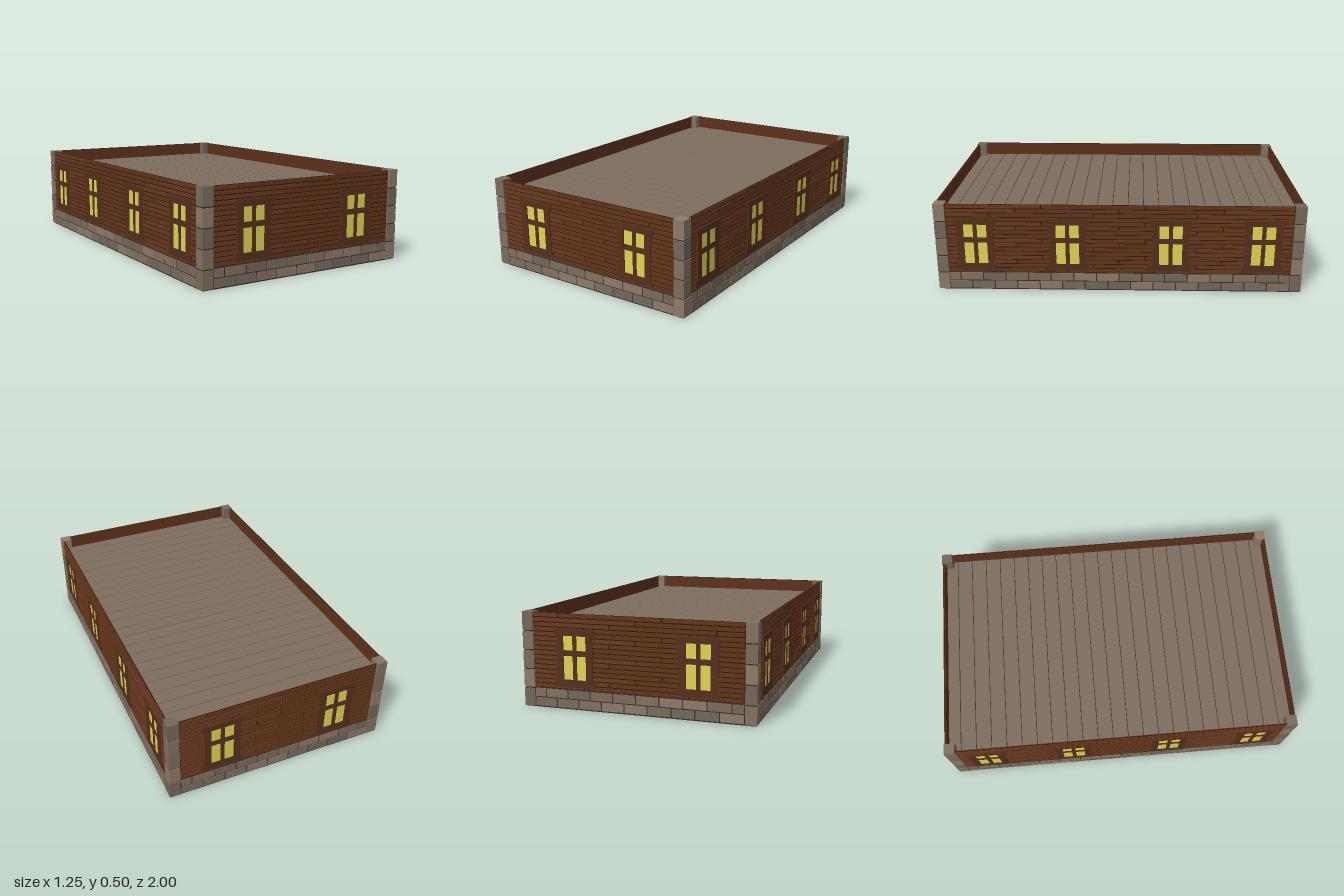
import * as THREE from 'three';

const mat = (color) => new THREE.MeshStandardMaterial({ color, flatShading: true });
const STONES = [0x7a6c5d, 0x8d7a68, 0x74675a, 0x83725f].map(mat);
const WOODS = [0x6b3a1f, 0x643519, 0x6f3d20].map(mat);
const FRAME = mat(0x55301c);
const GLASS = mat(0xe0d455);
const MORTAR = mat(0x3a312b);
const BACKING = mat(0x2e1b12);
const LINING = mat(0x5e321a);
const DECK = mat(0x7c6e5e);

const HX = 0.625, HZ = 1, H = 0.5; // half width, half depth, height
const POST = 0.063, BASE = 0.105, DECK_TOP = 0.42, GAP = 0.006;

// Box given by its lower and upper corners
function box(parent, name, material, x0, x1, y0, y1, z0, z1) {
  const mesh = new THREE.Mesh(new THREE.BoxGeometry(x1 - x0, y1 - y0, z1 - z0), material);
  mesh.position.set((x0 + x1) / 2, (y0 + y1) / 2, (z0 + z1) / 2);
  mesh.name = name;
  parent.add(mesh);
  return mesh;
}

// Row of pieces between -half and half, joined at every step from the given shift
function course(parent, name, mats, row, half, step, shift, y0, y1, z0, z1) {
  const cuts = [-half];
  let x = shift - Math.ceil((shift + half) / step) * step;
  for (; x < half - 0.01; x += step) if (x > -half + 0.01) cuts.push(x);
  cuts.push(half);
  for (let i = 0; i + 1 < cuts.length; i++) {
    const m = mats[(i * 3 + row * 2 + ((i * i + row) % 3)) % mats.length];
    box(parent, name, m, cuts[i] + GAP / 2, cuts[i + 1] - GAP / 2, y0 + GAP / 2, y1 - GAP / 2, z0, z1);
  }
}

// Four-pane window centred on x; z = 0 is the outermost plane
function window4(x) {
  const g = new THREE.Group();
  g.name = 'window';
  box(g, 'glass', GLASS, -0.07, 0.07, 0.15, 0.39, -0.012, -0.005);
  for (const s of [-1, 1]) box(g, 'jamb', FRAME, s * 0.081 - 0.018, s * 0.081 + 0.018, 0.155, 0.386, -0.012, 0);
  box(g, 'mullion', FRAME, -0.011, 0.011, 0.155, 0.386, -0.012, -0.002);
  box(g, 'crossbar', FRAME, -0.063, 0.063, 0.281, 0.31, -0.012, -0.002);
  box(g, 'lintel', FRAME, -0.112, 0.112, 0.385, 0.418, -0.012, -0.001);
  box(g, 'sill', FRAME, -0.112, 0.112, 0.118, 0.157, -0.012, -0.001);
  g.position.x = x;
  return g;
}

// Wall facing +z with stone base, staggered boards and windows
function wall(name, half, windows) {
  const g = new THREE.Group();
  g.name = name;
  const inner = half - POST;
  box(g, 'lining', LINING, -half + 0.02, half - 0.02, 0.004, H - 0.002, -0.018, -0.014);
  box(g, 'boardBacking', BACKING, -inner, inner, BASE, H - 0.001, -0.014, -0.01);
  box(g, 'mortar', MORTAR, -inner, inner, 0.002, BASE, -0.014, -0.005);

  const blocks = Math.round((2 * inner) / 0.125);
  const step = (2 * inner) / blocks;
  for (let r = 0; r < 2; r++) {
    course(g, 'baseStone', STONES, r, inner, step, -inner + r * step / 2,
      0.004 + r * 0.05, 0.054 + r * 0.05, -0.012, -0.002);
  }

  const rows = 16, h = (H - BASE) / rows;
  const shifts = [0.28, 0.42, 0, 0.14];
  for (let r = 0; r < rows; r++) {
    course(g, 'board', WOODS, r, inner, 0.56, shifts[r % 4],
      BASE + r * h, BASE + (r + 1) * h, -0.012, -0.006);
  }
  for (const x of windows) g.add(window4(x));
  return g;
}

// Corner post of stacked stones around a mortar core
function post(sx, sz, index) {
  const g = new THREE.Group();
  g.name = 'cornerPost';
  const w = POST - 0.003, a = w / 2;
  box(g, 'postCore', MORTAR, -a + 0.004, a - 0.004, 0, H - 0.004, -a + 0.004, a - 0.004);
  for (let i = 0; i < 5; i++) {
    box(g, 'postStone', STONES[(i * 3 + index) % 4], -a, a, i * 0.1 + 0.004, (i + 1) * 0.1 - (i < 4 ? 0.003 : 0), -a, a);
  }
  g.position.set(sx * (HX - 0.001 - a), 0, sz * (HZ - 0.001 - a));
  return g;
}

export function createModel() {
  const model = new THREE.Group();
  model.name = 'buildingStorey';

  // Four walls
  const ends = [-0.33, 0.33], sides = [-0.78, -0.28, 0.28, 0.78];
  const walls = [
    ['frontWall', HX, HZ, ends], ['leftWall', HZ, HX, sides],
    ['backWall', HX, HZ, ends], ['rightWall', HZ, HX, sides],
  ];
  walls.forEach(([name, half, dist, windows], i) => {
    const w = wall(name, half, windows);
    const a = i * Math.PI / 2;
    w.rotation.y = a;
    w.position.set(Math.sin(a) * dist, 0, Math.cos(a) * dist);
    model.add(w);
  });

  // Corner posts
  [[-1, 1], [1, 1], [1, -1], [-1, -1]].forEach(([sx, sz], i) => model.add(post(sx, sz, i)));

  // Underside and planked deck
  const x = HX - 0.015, z = HZ - 0.015;
  box(model, 'underside', MORTAR, -HX + 0.005, HX - 0.005, 0, 0.004, -HZ + 0.005, HZ - 0.005);
  box(model, 'deckBacking', MORTAR, -x, x, DECK_TOP - 0.03, DECK_TOP - 0.004, -z, z);
  const step = 0.087;
  for (let a = -0.915 - step; a < z; a += step) {
    const z0 = Math.max(a, -z), z1 = Math.min(a + step, z);
    box(model, 'deckPlank', DECK, -x, x, DECK_TOP - 0.01, DECK_TOP, z0 + 0.002, z1 - 0.002);
  }
  return model;
}
